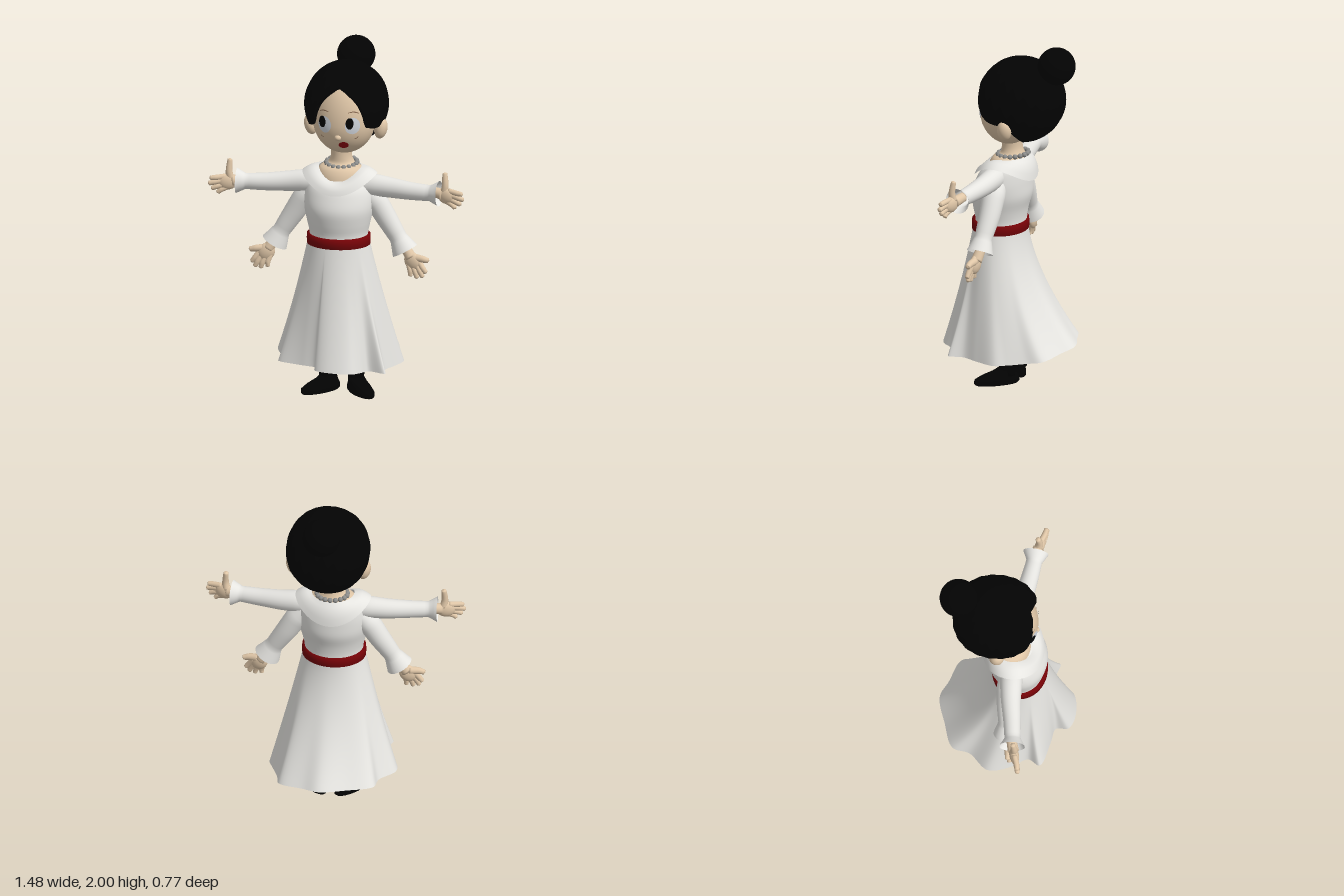
import * as THREE from 'three';

const V = (x, y, z) => new THREE.Vector3(x, y, z);
const mat = (name, color, double) => {
  const m = new THREE.MeshStandardMaterial({ color });
  m.name = name;
  if (double) m.side = THREE.DoubleSide;
  return m;
};

// Skin a stack of closed rings (bottom to top, each running from +z towards +x)
function loft(rings, capped = false) {
  const n = rings[0].length, pos = [], index = [];
  rings.forEach(r => r.forEach(p => pos.push(p.x, p.y, p.z)));
  for (let j = 0; j < rings.length - 1; j++) for (let i = 0; i < n; i++) {
    const a = j * n + i, b = j * n + (i + 1) % n;
    index.push(a, b, a + n, b, b + n, a + n);
  }
  if (capped) [0, rings.length - 1].forEach((j, top) => {
    const c = V(0, 0, 0);
    rings[j].forEach(p => c.addScaledVector(p, 1 / n));
    const k = pos.push(c.x, c.y, c.z) / 3 - 1;
    for (let i = 0; i < n; i++) {
      const a = j * n + i, b = j * n + (i + 1) % n;
      top ? index.push(k, a, b) : index.push(k, b, a);
    }
  });
  const g = new THREE.BufferGeometry();
  g.setAttribute('position', new THREE.Float32BufferAttribute(pos, 3));
  g.setIndex(index);
  g.computeVertexNormals();
  return g;
}
const ring = (n, f) => Array.from({ length: n }, (_, i) => f(i / n * Math.PI * 2));
const oval = (y, hx, cz, hz) => ring(48, a => V(hx * Math.sin(a), y, cz + hz * Math.cos(a)));

// Smoothly interpolated stack of ovals: [y, halfWidth, centreZ, halfDepth]
function body(rows) {
  const pa = new THREE.CatmullRomCurve3(rows.map(r => V(r[0], r[1], 0)));
  const pb = new THREE.CatmullRomCurve3(rows.map(r => V(r[0], r[2], r[3])));
  const n = (rows.length - 1) * 4;
  return loft(Array.from({ length: n + 1 }, (_, i) => {
    const a = pa.getPoint(i / n), b = pb.getPoint(i / n);
    return oval(a.x, a.y, b.y, b.z);
  }));
}

// Round limb with a varying radius along a smooth path
function limb(points, radii, capped) {
  const curve = new THREE.CatmullRomCurve3(points), n = (points.length - 1) * 5;
  const { normals, binormals } = curve.computeFrenetFrames(n);
  return loft(Array.from({ length: n + 1 }, (_, j) => {
    const f = j / n * (radii.length - 1), k = Math.min(Math.floor(f), radii.length - 2);
    const r = THREE.MathUtils.lerp(radii[k], radii[k + 1], f - k), p = curve.getPoint(j / n);
    return ring(24, a => p.clone().addScaledVector(normals[j], r * Math.cos(a)).addScaledVector(binormals[j], r * Math.sin(a)));
  }), capped);
}

// Face ellipsoid: fuller above its middle than below
const FACE = { x: 0.018, y: 1.595, z: 0.01, rx: 0.176, up: 0.27, down: 0.19, rz: 0.163 };
function faceZ(x, y) {
  const dx = (x - FACE.x) / FACE.rx, dy = (y - FACE.y) / (y > FACE.y ? FACE.up : FACE.down);
  return FACE.z + FACE.rz * Math.sqrt(Math.max(0, 1 - dx * dx - dy * dy));
}
// Thin oval plate wrapped on the face
function facePatch(cx, cy, rx, ry, lift, tilt = 0, arch = 0) {
  const g = new THREE.RingGeometry(0, 1, 28, 4), p = g.attributes.position;
  for (let i = 0; i < p.count; i++) {
    const u = p.getX(i) * rx, v = p.getY(i) * ry - arch * p.getX(i) ** 2;
    const x = cx + u * Math.cos(tilt) - v * Math.sin(tilt), y = cy + u * Math.sin(tilt) + v * Math.cos(tilt);
    p.setXYZ(i, x, y, faceZ(x, y) + lift);
  }
  g.computeVertexNormals();
  return g;
}

// Hairline height by angle from the front (degrees)
const HAIRLINE = [[0, 1.815], [6, 1.807], [14, 1.787], [23, 1.758], [31, 1.715], [37, 1.655], [41, 1.585], [60, 1.565],
  [85, 1.565], [98, 1.5], [112, 1.445], [125, 1.432], [180, 1.43]];
function hairline(a) {
  const d = Math.abs(((a * 180 / Math.PI + 180) % 360) - 180);
  const k = Math.max(1, HAIRLINE.findIndex(h => h[0] >= d - 1e-6));
  const [d0, y0] = HAIRLINE[k - 1], [d1, y1] = HAIRLINE[k];
  return THREE.MathUtils.lerp(y0, y1, (d - d0) / (d1 - d0));
}
function hairGeometry() {
  const rows = 26, rings = [];
  const point = (a, v, s) => {
    const t = v * Math.acos((hairline(a) - 1.67) / 0.245);
    const front = Math.abs(a > Math.PI ? a - 2 * Math.PI : a);
    const r = s * (1 + Math.sin(t) * (0.008 * Math.sin(a * 22) + 0.03 * Math.sin(2 * a) ** 2 - 0.02 * Math.exp(-((front / 0.1) ** 2))));
    return V(0.015 + 0.235 * r * Math.sin(t) * Math.sin(a), 1.67 + 0.245 * s * Math.cos(t), -0.063 + 0.247 * r * Math.sin(t) * Math.cos(a));
  };
  [0.77, 0.9, 0.98].forEach(s => rings.push(ring(144, a => point(a, 1, s))));
  for (let j = rows; j >= 0; j--) rings.push(ring(144, a => point(a, j / rows, 1)));
  return loft(rings);
}

// Skirt: oval waist spreading into a wavy hem, points given as [x, z]; the folds deepen towards the hem
const HEM = [[0, .385], [.13, .365], [.18, .3], [.21, .245], [.31, .265], [.29, .18], [.32, .09], [.352, -.03], [.325, -.1],
  [.285, -.2], [.26, -.29], [.12, -.345], [.02, -.385], [-.13, -.34], [-.27, -.28], [-.29, -.18], [-.375, -.07], [-.34, .06],
  [-.285, .15], [-.315, .22], [-.17, .265], [-.085, .285], [-.075, .355]];
function skirtGeometry() {
  const curve = new THREE.CatmullRomCurve3(HEM.map(([x, z]) => V(x, 0, z)), true, 'centripetal');
  const rings = [], rows = 20, L = THREE.MathUtils.lerp;
  for (let j = rows; j >= 0; j--) {
    const t = j / rows;
    rings.push(Array.from({ length: 160 }, (_, i) => {
      const h = curve.getPoint(i / 160), a = Math.atan2(h.x / 0.36, h.z / 0.38);
      const back = (1 - Math.cos(a)) / 2, k = Math.pow(t, 1 + 0.65 * back);
      const hemY = 0.199 - 0.04 * h.x + (h.z > 0 ? 0.1 : 0.28) * h.z * h.z;
      const x = L(0.345 * Math.sin(a), h.x, t), z = L(0.35 * Math.cos(a), h.z, t);
      return V(L(0.175 * Math.sin(a), x, Math.pow(t, 1.05)), L(0.91, hemY, t), L(0.07 + 0.15 * Math.cos(a), z, k));
    }));
  }
  return loft(rings);
}

export function createModel() {
  const root = new THREE.Group();
  root.name = 'woman';
  const cloth = mat('white cloth', 0xe6e5e1, true), skin = mat('skin', 0xdfc6a7), black = mat('black', 0x030303),
    red = mat('belt red', 0x750307), lipRed = mat('lip red', 0x920610), pearl = mat('pearl grey', 0x8c8c8a),
    eyeWhite = mat('eye white', 0xd0d5dc), brown = mat('brow brown', 0x8a6c54);
  const add = (name, geometry, material, parent = root) => {
    const m = new THREE.Mesh(geometry, material);
    m.name = name;
    parent.add(m);
    return m;
  };
  const ball = (name, material, c, r, parent = root) => {
    const m = add(name, new THREE.SphereGeometry(1, 32, 22), material, parent);
    m.position.set(...c);
    m.scale.set(...r);
    return m;
  };

  // Dress
  add('skirt', skirtGeometry(), cloth);
  add('bodice', body([[.88, .172, .07, .148], [.95, .166, .067, .142], [1.02, .18, .068, .153], [1.1, .197, .06, .168],
    [1.17, .198, .048, .158], [1.22, .188, .036, .145], [1.26, .17, .016, .122], [1.285, .145, -.005, .1]]), cloth);
  add('belt', loft([oval(.888, .172, .07, .148), oval(.89, .18, .071, .157), oval(.917, .181, .071, .158),
    oval(.944, .18, .071, .157), oval(.946, .165, .07, .14)]), red);
  add('collar', loft([0, .25, .5, .75, 1].map(t => ring(64, a => {
    const c = Math.cos(a), L = THREE.MathUtils.lerp, bulge = .012 * Math.sin(Math.PI * t);
    const outerY = 1.298 - .1 * c * c, innerY = 1.328 - (c > 0 ? .066 * c * c : 0);
    return V(L(.213, .12, t) * Math.sin(a), L(outerY, innerY, t) + bulge, L(.036, .03, t) + (L(.173, .113, t) + bulge) * c);
  }))), cloth);

  // Neck, pearls and head
  add('neck', body([[1.22, .12, .04, .1], [1.27, .13, .028, .103], [1.3, .13, .018, .101], [1.322, .118, .01, .092],
    [1.345, .075, -.002, .068], [1.38, .06, 0, .059], [1.45, .06, 0, .059]]), skin);
  const necklace = new THREE.Group();
  necklace.name = 'necklace';
  root.add(necklace);
  ring(18, a => ball('pearl', pearl, [.086 * Math.sin(a), 1.338 - .008 * Math.cos(a), -.005 + .085 * Math.cos(a)], [.0145, .0145, .0145], necklace));

  const face = new THREE.SphereGeometry(1, 48, 36), fp = face.attributes.position;
  for (let i = 0; i < fp.count; i++) {
    const y = fp.getY(i);
    fp.setXYZ(i, FACE.x + fp.getX(i) * FACE.rx, FACE.y + y * (y > 0 ? FACE.up : FACE.down), FACE.z + fp.getZ(i) * FACE.rz);
  }
  face.computeVertexNormals();
  add('face', face, skin);
  ball('nose', skin, [.015, 1.53, .158], [.02, .018, .022]);
  for (const s of [-1, 1]) {
    const ear = ball('ear', skin, [.016 + s * .202, 1.54, -.04], [.037, .06, .041]);
    ear.rotation.z = -s * .2;
    add('eyeWhite', facePatch(.018 + s * .08, 1.603, .04, .048, .004), eyeWhite);
    add('pupil', facePatch(.004 + s * .08, 1.618, .021, .033, .007), black);
    add('eyebrow', facePatch(.018 + s * .085, 1.683, .03, .003, .005, -s * .1, .008), brown);
    add('smileCrease', facePatch(.018 + s * .1, 1.528, .013, .002, .003, s * .6, -.004), brown);
  }
  add('lips', facePatch(.045, 1.485, .028, .021, .006, .15), lipRed);

  // Hair
  add('hair', hairGeometry(), black);
  ball('hairBun', black, [.022, 1.893, -.278], [.108, .107, .107]);

  // Two pairs of arms; a hand has its fingers along u and its thumb along v
  const hand = (s, wrist, angle, forward, thumb) => {
    const g = new THREE.Group();
    g.name = 'hand';
    root.add(g);
    const c = Math.cos(angle), n = Math.sin(angle);
    const at = (u, v, w = 0) => V(s * (wrist[0] + u * c - v * n), wrist[1] + u * n + v * c, wrist[2] + u * forward + w);
    add('wrist', limb([at(-.03, 0), at(0, 0), at(.05, 0)], [.027, .029, .032], true), skin, g);
    const palm = ball('palm', skin, at(.07, -.002).toArray(), [.056, .047, .027], g);
    palm.rotation.set(0, -s * Math.atan(forward), s * angle);
    [[.1, .03, .166, .034], [.108, .01, .178, .005], [.104, -.013, .166, -.026], [.09, -.03, .138, -.054]].forEach(([u, v, U, W]) =>
      add('finger', limb([at(u - .02, v), at((u + U) / 2, (v + W) / 2, .003), at(U - .006, W), at(U, W)], [.016, .0155, .013, .004], true), skin, g));
    add('thumb', limb([at(.055, .015), at(.034 + thumb[0] / 2, .06, .004), at(thumb[0], thumb[1] - .006), at(...thumb)], [.023, .019, .014, .004], true), skin, g);
  };
  for (const s of [-1, 1]) {
    add('upperSleeve', limb([V(s * .1, 1.232, .04), V(s * .2, 1.232, .045), V(s * .3, 1.225, .055), V(s * .42, 1.219, .075),
      V(s * .53, 1.219, .09), V(s * .583, 1.22, .094)], [.06, .063, .057, .05, .045, .072]), cloth);
    hand(s, [.56, 1.227, .09], -.14, .3, [.042, .13]);
    add('lowerSleeve', limb([V(s * .14, 1.2, .03), V(s * .2, 1.14, .03), V(s * .265, 1.04, .03), V(s * .335, .93, .038),
      V(s * .375, .857, .042)], [.055, .066, .06, .05, .076]), cloth);
    hand(s, [.385, .86, .04], -1, .18, [.11, .088]);

    // Legs and outward-turned shoes
    add('leg', limb([V(s * .083, .6, -.005), V(s * .083, .3, -.005), V(s * .083, .05, -.005)], [.055, .049, .045], true), black);
    const dx = s * Math.sin(.7), dz = Math.cos(.7);
    const sole = (y, len, wide, shift) => ring(32, a => {
      const u = len * Math.cos(a) + shift, w = wide * Math.sin(a) * s;
      return V(.005 + s * .116 + u * dx + s * w * dz, y, .045 + u * dz - s * w * dx);
    });
    add('shoe', loft([sole(0, .122, .046, 0), sole(.01, .133, .053, 0), sole(.032, .131, .053, 0), sole(.052, .105, .05, -.015),
      sole(.07, .07, .047, -.042), sole(.085, .052, .045, -.055)], true), black);
  }
  return root;
}
